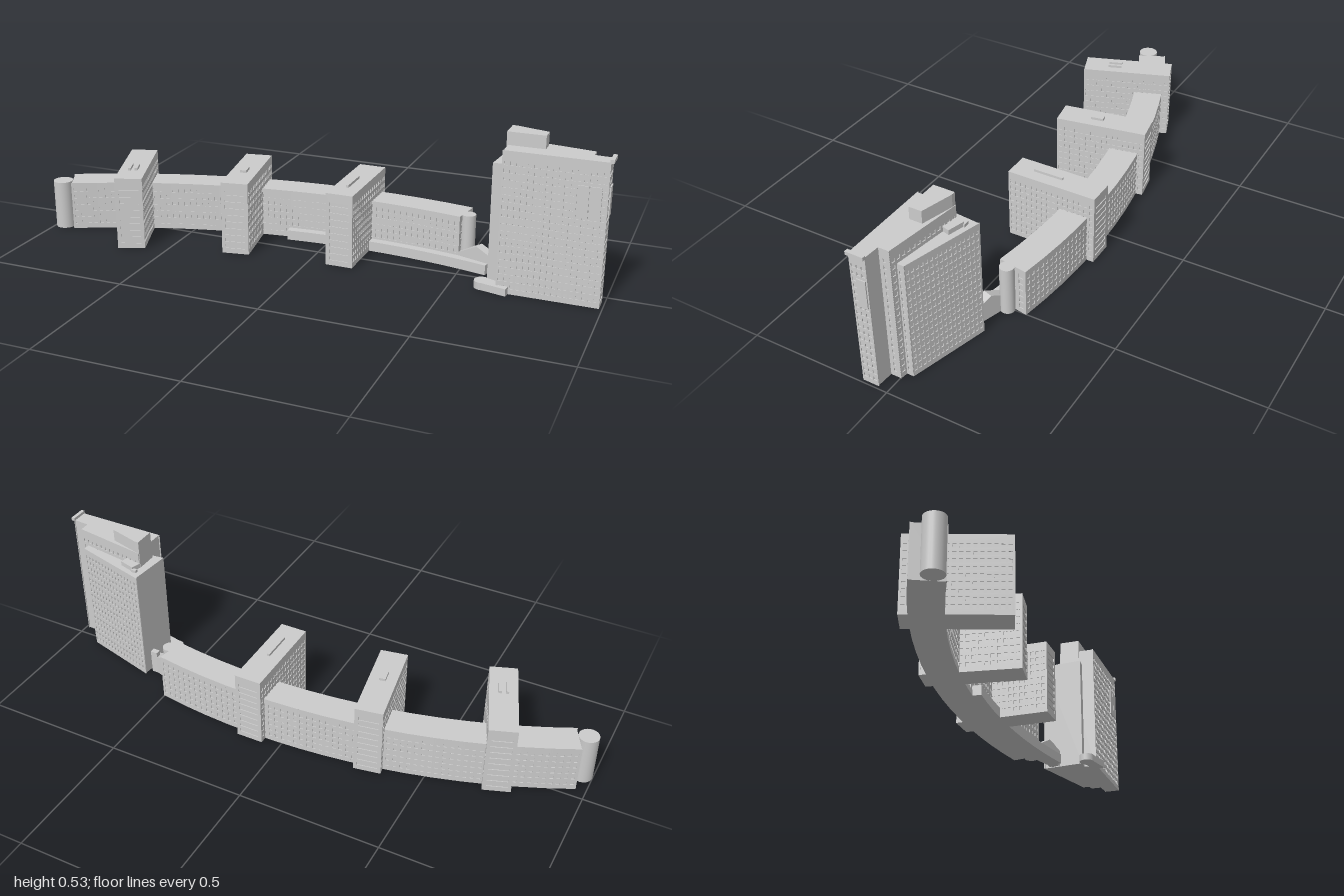
import * as THREE from 'three';
import { mergeGeometries } from 'three/addons/utils/BufferGeometryUtils.js';

const mat = new THREE.MeshStandardMaterial({ color: 0xcccccc });
const D = 0.003; // window reveal depth
const FLOOR = 0.0245;

// Solid from a plan outline [x, z], front edge running left to right
function prism(pts, h, y = 0) {
  const shape = new THREE.Shape(pts.map(([x, z]) => new THREE.Vector2(x, -z)));
  return new THREE.ExtrudeGeometry(shape, { depth: h, bevelEnabled: false, curveSegments: 1 })
    .rotateX(-Math.PI / 2).translate(0, y, 0);
}

// Wall sheet with a grid of window openings, standing just outside edge a-b
function facade(a, b, h, { cols, rows, w = 0.012, wh = 0.013 }) {
  const dx = b[0] - a[0], dz = b[1] - a[1], len = Math.hypot(dx, dz);
  const s = new THREE.Shape();
  s.moveTo(-D, 0).lineTo(len + D, 0).lineTo(len + D, h).lineTo(-D, h).closePath();
  for (let r = 0; r < rows; r++) {
    for (let c = 0; c < cols; c++) {
      const x = (len * (c + 0.5)) / cols - w / 2, y = 0.025 + r * FLOOR - wh / 2;
      s.holes.push(new THREE.Path([[x, y], [x, y + wh], [x + w, y + wh], [x + w, y]]
        .map(p => new THREE.Vector2(...p))));
    }
  }
  return new THREE.ExtrudeGeometry(s, { depth: D, bevelEnabled: false })
    .rotateY(-Math.atan2(dz, dx)).translate(a[0], 0, a[1]);
}

// Core plus one window wall per edge that has a spec
function building(pts, h, specs) {
  const parts = [prism(pts, h)];
  specs.forEach((spec, i) => {
    if (spec) parts.push(facade(pts[i], pts[(i + 1) % pts.length], h, spec));
  });
  return mergeGeometries(parts);
}

export function createModel() {
  const model = new THREE.Group();
  const add = (name, geo, parent = model) => {
    const m = new THREE.Mesh(geo, mat);
    m.name = name;
    parent.add(m);
    return m;
  };
  const box = (name, w, h, d, x, y, z, parent) =>
    add(name, new THREE.BoxGeometry(w, h, d).translate(x, y + h / 2, z), parent);
  const drum = (name, r, h, x, z) =>
    add(name, new THREE.CylinderGeometry(r, r, h, 24).translate(x, h / 2, z));

  // Curved wing along an arc
  const arc = (r, t) => [0.1 + r * Math.sin(t), 2.17 - r * Math.cos(t)];
  const ring = (r0, r1, t0, t1, n) => {
    const front = [], back = [];
    for (let i = 0; i <= n; i++) {
      const t = t0 + ((t1 - t0) * i) / n;
      front.push(arc(r0, t));
      back.unshift(arc(r1, t));
    }
    return [...front, ...back];
  };
  const N = 16, wingWindows = { cols: 4, rows: 6 };
  const sides = Array(N).fill(wingWindows);
  add('curvedWing', building(ring(2.283, 2.382, -0.462, 0.168, N), 0.175,
    [...sides, { cols: 3, rows: 6, w: 0.018, wh: 0.016 }, ...sides]));
  drum('roundedWingEnd', 0.035, 0.175, -0.965, 0.11);
  drum('stairDrum', 0.025, 0.175, 0.505, -0.115);
  add('frontPodium', prism(ring(2.25, 2.3, -0.11, 0.22, 10), 0.035));

  // Cross blocks set radially across the wing
  const blockCore = [[-0.045, 0.162], [0.045, 0.162], [0.045, -0.162], [-0.045, -0.162]];
  const end = { cols: 1, rows: 9, w: 0.07 }, side = { cols: 16, rows: 9 };
  const blocks = [
    { x: -0.68, z: 0.062, turn: 0.35, roof: [[-0.012, 0.05, 0.01, 0.05], [0.012, 0.05, 0.01, 0.05]] },
    { x: -0.29, z: -0.04, turn: 0.172, roof: [[0, 0.025, 0.022, 0.045]] },
    { x: 0.112, z: -0.075, turn: 0, roof: [[0, 0.035, 0.009, 0.11]] },
  ];
  for (const b of blocks) {
    const g = new THREE.Group();
    g.name = 'crossBlock';
    g.position.set(b.x, 0, b.z);
    g.rotation.y = b.turn;
    add('blockWalls', building(blockCore, 0.259, [end, side, end, side]), g);
    for (const [x, z, w, d] of b.roof) box('roofVent', w, 0.01, d, x, 0.258, z, g);
    model.add(g);
  }

  // Low link with a pitched roof between wing and tower
  const link = new THREE.Shape([[0, 0], [0.15, 0], [0.15, 0.058], [0.085, 0.085], [0, 0.04]]
    .map(p => new THREE.Vector2(...p)));
  add('linkHall', new THREE.ExtrudeGeometry(link, { depth: 0.035, bevelEnabled: false })
    .rotateY(-0.3).translate(0.48, 0, -0.115));
  box('linkPier', 0.025, 0.09, 0.02, 0.605, 0, -0.07);

  // Tower: tall front slab and lower angled back block
  const slab = [[0.66, 0.09], [0.987, 0.09], [0.987, 0.038], [0.927, 0.034],
    [0.927, 0], [0.66, -0.04]];
  add('towerSlab', building(slab, 0.483, [
    { cols: 17, rows: 18 }, { cols: 3, rows: 18 }, null, { cols: 1, rows: 18, w: 0.009 },
    { cols: 13, rows: 18 }, null]));
  const backBlock = [[0.618, 0.05], [0.902, 0.02], [0.902, -0.028], [0.632, -0.102]];
  add('towerBackBlock', building(backBlock, 0.423, [
    null, { cols: 2, rows: 16, w: 0.008 }, { cols: 16, rows: 16, w: 0.01 }, null]));

  // Tower rooftop
  add('penthouse', prism([[0.655, 0.035], [0.78, 0.035], [0.78, -0.01], [0.67, -0.04],
    [0.655, -0.04]], 0.107, 0.42));
  const plant = box('roofPlant', 0.06, 0.018, 0.035, 0, 0.422, 0);
  plant.position.set(0.69, 0, -0.05);
  plant.rotation.y = -0.27;
  box('roofPlantStep', 0.02, 0.011, 0.012, 0.66, 0.422, -0.073);
  box('parapetFin', 0.013, 0.012, 0.062, 0.9935, 0.481, 0.065);

  // Blank sign panels near the tower corner
  for (const x of [0.914, 0.953]) box('frontPanel', 0.036, 0.1, 0.006, x, 0.3, 0.094);
  box('endPanel', 0.006, 0.1, 0.032, 0.991, 0.3, 0.056);

  // Entrance canopy at the tower foot
  drum('canopyRound', 0.027, 0.025, 0.607, 0.07);
  add('canopy', prism([[0.605, 0.095], [0.695, 0.115], [0.7, 0.08], [0.61, 0.045]], 0.025));
  return model;
}
